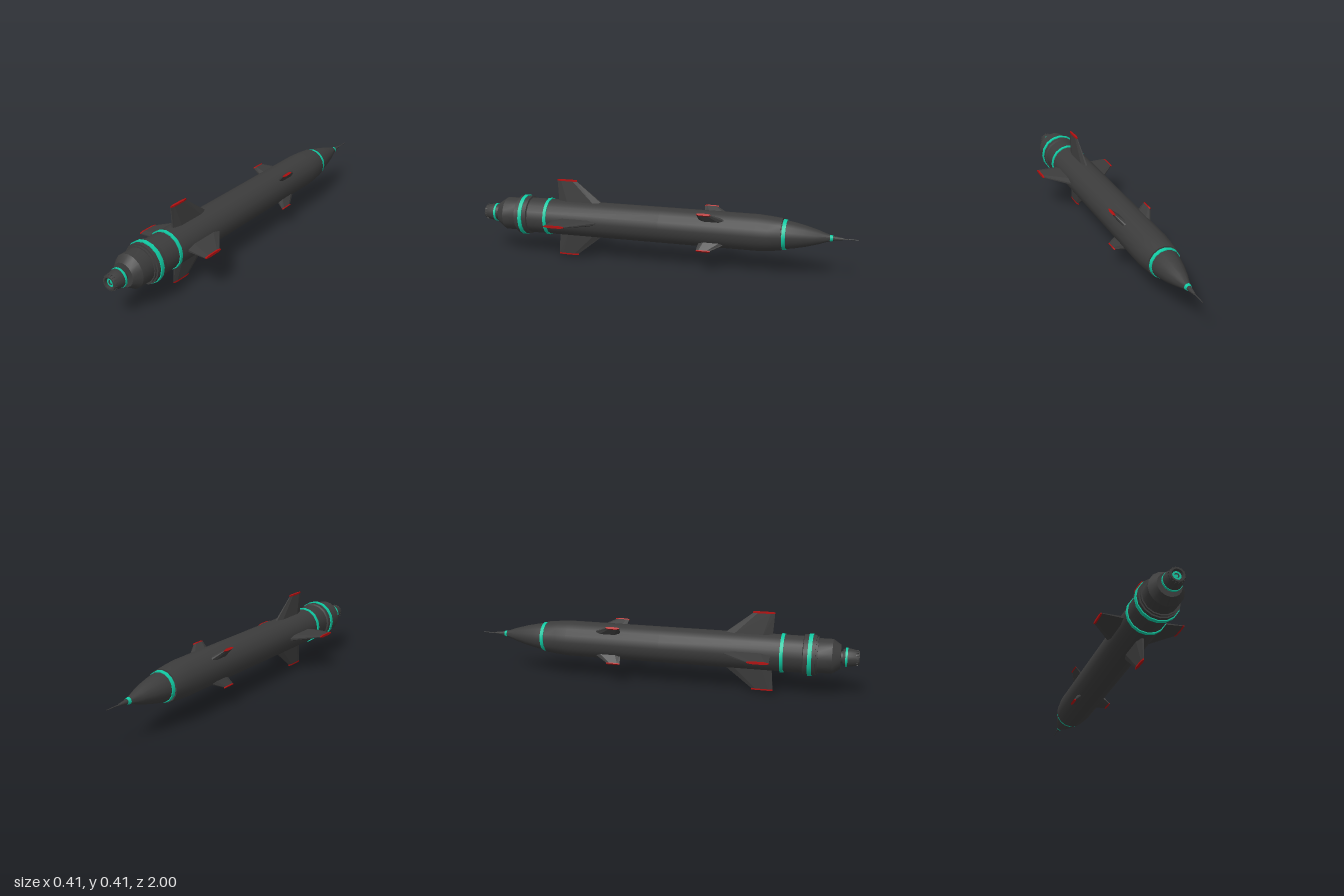
import * as THREE from 'three';
import { toCreasedNormals } from 'three/addons/utils/BufferGeometryUtils.js';

const SIDES = 16;
const paint = (color) => new THREE.MeshStandardMaterial({ color });
const dark = paint(0x3c3c3c), teal = paint(0x10c9a2), red = paint(0xb01010);

// Turned part along z; profile is a list of [z, radius] from tail of list order -z to +z
function turned(name, profile, material, sides = SIDES) {
  const pts = profile.map(([z, r]) => new THREE.Vector2(r, z));
  const geo = new THREE.LatheGeometry(pts, sides).rotateX(Math.PI / 2);
  const mesh = new THREE.Mesh(toCreasedNormals(geo, 0.5), material);
  mesh.name = name;
  return mesh;
}

// Short closed band around the axis
function band(name, z0, z1, r, inner, r1 = r) {
  return turned(name, [[z0, inner], [z0, r], [z1, r1], [z1, inner]], teal);
}

// Bevelled blade section at height y: CCW seen from the tip
function section(y, z0, z1, t) {
  const c = z1 - z0, e = t * 0.3, a = z0 + c * 0.2, b = z1 - c * 0.2;
  return [[e, z1], [t, b], [t, a], [e, z0], [-e, z0], [-t, a], [-t, b], [-e, z1]]
    .map(([x, z]) => [x, y, z]);
}

// Flat-shaded solid between two sections
function loft(name, low, high, material) {
  const v = [], n = low.length;
  for (let i = 0; i < n; i++) {
    const j = (i + 1) % n;
    v.push(...low[i], ...low[j], ...high[j], ...low[i], ...high[j], ...high[i]);
    if (i > 0 && i < n - 1) {
      v.push(...high[0], ...high[i], ...high[i + 1]);
      v.push(...low[0], ...low[i + 1], ...low[i]);
    }
  }
  const geo = new THREE.BufferGeometry();
  geo.setAttribute('position', new THREE.Float32BufferAttribute(v, 3));
  geo.computeVertexNormals();
  const mesh = new THREE.Mesh(geo, material);
  mesh.name = name;
  return mesh;
}

// Fin with a coloured tip; root and tip are [radius, zFront, zRear, halfThickness]
function fin(name, root, tip, cap, angle) {
  const g = new THREE.Group();
  const end = [tip[0] + cap, ...tip.slice(1)];
  g.add(loft('finBlade', section(...root), section(...tip), dark));
  g.add(loft('finTip', section(...tip), section(...end), red));
  g.name = name;
  g.rotation.z = angle;
  return g;
}

export function createModel() {
  const model = new THREE.Group();
  model.name = 'missile';
  const body = new THREE.Group();
  body.name = 'airframe';
  body.position.y = 0.206;
  model.add(body);

  // Nose, probe and main tube
  body.add(turned('probe', [[-1, 0], [-1, 0.002], [-0.9, 0.003], [-0.9, 0]], dark, 8));
  body.add(turned('noseTip', [[-0.925, 0], [-0.925, 0.005], [-0.87, 0.013], [-0.87, 0]], dark));
  body.add(band('noseTipBand', -0.875, -0.86, 0.014, 0, 0.017));
  body.add(turned('noseCone', [[-0.86, 0], [-0.86, 0.017], [-0.845, 0.021], [-0.8, 0.037],
    [-0.74, 0.054], [-0.69, 0.065], [-0.645, 0.073], [-0.62, 0.075], [-0.62, 0]], dark));
  body.add(band('noseBand', -0.648, -0.63, 0.076, 0.06, 0.078));
  body.add(turned('mainTube', [[-0.625, 0], [-0.625, 0.082], [-0.56, 0.089], [-0.5, 0.0935],
    [0, 0.0935], [0.8, 0.0935], [0.8, 0]], dark));

  // Tail section
  body.add(band('forwardTailBand', 0.615, 0.632, 0.099, 0.085));
  body.add(turned('tailCollar', [[0.72, 0.08], [0.73, 0.102], [0.79, 0.102], [0.79, 0.08]], dark));
  body.add(band('rearTailBand', 0.752, 0.772, 0.107, 0.09));
  body.add(turned('tailCone', [[0.78, 0], [0.78, 0.087], [0.87, 0.087], [0.91, 0.06], [0.91, 0]], dark));
  body.add(turned('nozzleNeck', [[0.9, 0.03], [0.93, 0.03]], dark));

  // Nozzle with a recessed mouth
  body.add(turned('nozzle', [[0.92, 0], [0.92, 0.04], [0.935, 0.046], [0.95, 0.046],
    [0.99, 0.038], [1, 0.035], [1, 0.027], [0.975, 0.024], [0.975, 0]], dark));
  body.add(band('nozzleBand', 0.932, 0.943, 0.0485, 0.04));
  body.add(band('nozzleGlowRing', 0.972, 0.99, 0.021, 0.012));
  body.add(turned('nozzleCore', [[0.97, 0], [0.97, 0.008], [0.985, 0.008], [0.985, 0]], teal));
  for (let i = 0; i < SIDES; i++) {
    const a = ((i + 0.5) / SIDES) * Math.PI * 2;
    const stud = new THREE.Mesh(new THREE.BoxGeometry(0.004, 0.007, 0.012), dark);
    stud.name = 'nozzleStud';
    stud.position.set(Math.sin(a) * 0.0365, Math.cos(a) * 0.0365, 0.989);
    stud.rotation.z = -a;
    body.add(stud);
  }

  // Four tail fins upright and level, four small forward fins on the diagonals
  for (let i = 0; i < 4; i++) {
    const a = (i * Math.PI) / 2;
    body.add(fin('tailFin', [0.085, 0.325, 0.57, 0.0165], [0.198, 0.468, 0.578, 0.006], 0.008, a));
    body.add(fin('forwardFin', [0.085, -0.35, -0.21, 0.015],
      [0.131, -0.277, -0.204, 0.006], 0.006, a + Math.PI / 4));
  }
  return model;
}
